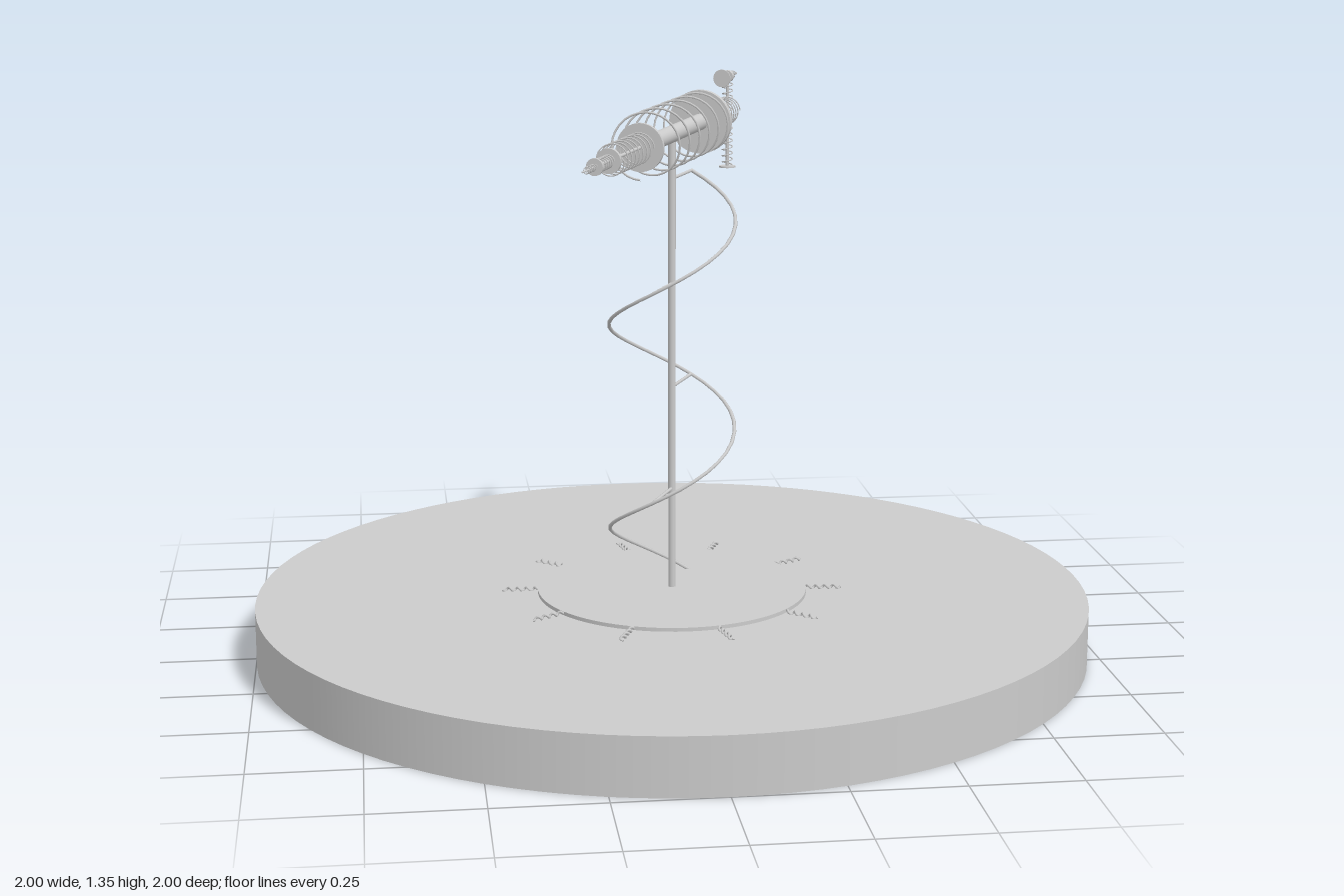
import * as THREE from 'three';

const material = new THREE.MeshStandardMaterial({ color: 0xcccccc });

// Spiral wire running along local z
class Helix extends THREE.Curve {
  constructor(radius, from, to, turns, phase) {
    super();
    Object.assign(this, { radius, from, to, turns, phase });
  }
  getPoint(t, target = new THREE.Vector3()) {
    const a = this.phase + t * this.turns * Math.PI * 2;
    return target.set(this.radius * Math.cos(a), this.radius * Math.sin(a), this.from + (this.to - this.from) * t);
  }
}

function add(parent, name, geometry) {
  const mesh = new THREE.Mesh(geometry, material);
  mesh.name = name;
  parent.add(mesh);
  return mesh;
}

function coil(parent, name, radius, from, to, turns, wire, phase = 0) {
  const curve = new Helix(radius, from, to, turns, phase);
  return add(parent, name, new THREE.TubeGeometry(curve, Math.ceil(turns * 28), wire, 6));
}

// Cylinder along local z
function rod(parent, name, radius, from, to, sides = 24) {
  const geometry = new THREE.CylinderGeometry(radius, radius, Math.abs(to - from), sides);
  geometry.rotateX(Math.PI / 2).translate(0, 0, (from + to) / 2);
  return add(parent, name, geometry);
}

function group(parent, name) {
  const g = new THREE.Group();
  g.name = name;
  parent.add(g);
  return g;
}

export function createModel() {
  const model = new THREE.Group();
  model.name = 'springSculpture';

  // Base with raised dial and ten radial springs
  add(model, 'base', new THREE.CylinderGeometry(1, 1, 0.135, 96)).position.y = 0.0675;
  add(model, 'dial', new THREE.CylinderGeometry(0.325, 0.325, 0.01, 72)).position.y = 0.139;
  for (let i = 0; i < 10; i++) {
    const spoke = group(model, 'dialSpring');
    spoke.position.y = 0.139;
    spoke.rotation.y = Math.PI / 2 - 0.095 - (i * Math.PI) / 5;
    coil(spoke, 'dialSpringWire', 0.004, 0.325, 0.41, 4, 0.003);
  }

  // Upright pole, wrapped by a two-turn spiral held by rungs
  const column = group(model, 'column');
  column.rotation.x = -Math.PI / 2;
  rod(column, 'pole', 0.009, 0.135, 1.245, 16);
  const phase = 1.13;
  coil(column, 'spiral', 0.15, 0.14, 1.14, 2, 0.0045, phase).geometry.computeBoundingSphere();
  for (let i = 1; i <= 4; i++) {
    const angle = phase + i * Math.PI;
    const rung = add(column, 'rung', new THREE.CylinderGeometry(0.004, 0.004, 0.15, 8).translate(0, 0.075, 0));
    rung.position.z = 0.14 + i * 0.25;
    rung.rotation.z = angle - Math.PI / 2;
  }

  // Slanting arm on top of the pole
  const arm = group(model, 'arm');
  arm.position.y = 1.245;
  arm.rotation.y = -0.403;
  rod(arm, 'armBar', 0.02, -0.25, 0.255);
  coil(arm, 'armSpring', 0.074, -0.25, 0.255, 6, 0.0025, -Math.PI / 2);
  rod(arm, 'frontDisc', 0.055, 0.25, 0.26, 40);
  rod(arm, 'backDisc', 0.077, -0.258, -0.242, 40);

  // Front spike, narrowing in three steps
  rod(arm, 'frontRod', 0.004, 0.255, 0.59, 10);
  coil(arm, 'frontSpring', 0.034, 0.26, 0.487, 8, 0.0015);
  rod(arm, 'middleDisc', 0.028, 0.485, 0.495);
  coil(arm, 'middleSpring', 0.014, 0.495, 0.585, 6, 0.0015);
  rod(arm, 'smallDisc', 0.019, 0.585, 0.593);
  rod(arm, 'tipRod', 0.002, 0.59, 0.675, 8);
  coil(arm, 'tipSpring', 0.007, 0.593, 0.65, 5, 0.001);

  // Back spring and its core
  rod(arm, 'backRod', 0.004, -0.505, -0.25, 10);
  coil(arm, 'backSpring', 0.034, -0.5, -0.258, 12, 0.0015);

  // Upright tail with a wound rod and end caps
  const tail = group(arm, 'tail');
  tail.position.z = -0.505;
  tail.rotation.x = -Math.PI / 2;
  rod(tail, 'tailRod', 0.004, -0.143, 0.085, 10);
  coil(tail, 'tailSpring', 0.013, -0.14, 0.08, 14, 0.0015);
  rod(tail, 'tailFoot', 0.021, -0.145, -0.141);

  // Small pointer across the top of the tail
  const pointer = group(arm, 'pointer');
  pointer.position.set(0, 0.085, -0.505);
  rod(pointer, 'pointerRod', 0.003, -0.085, 0.055, 8);
  coil(pointer, 'pointerSpring', 0.009, -0.05, 0.055, 8, 0.0012);
  rod(pointer, 'pointerHub', 0.015, -0.008, 0.008);
  rod(pointer, 'pointerDisc', 0.022, 0.053, 0.057);

  return model;
}
